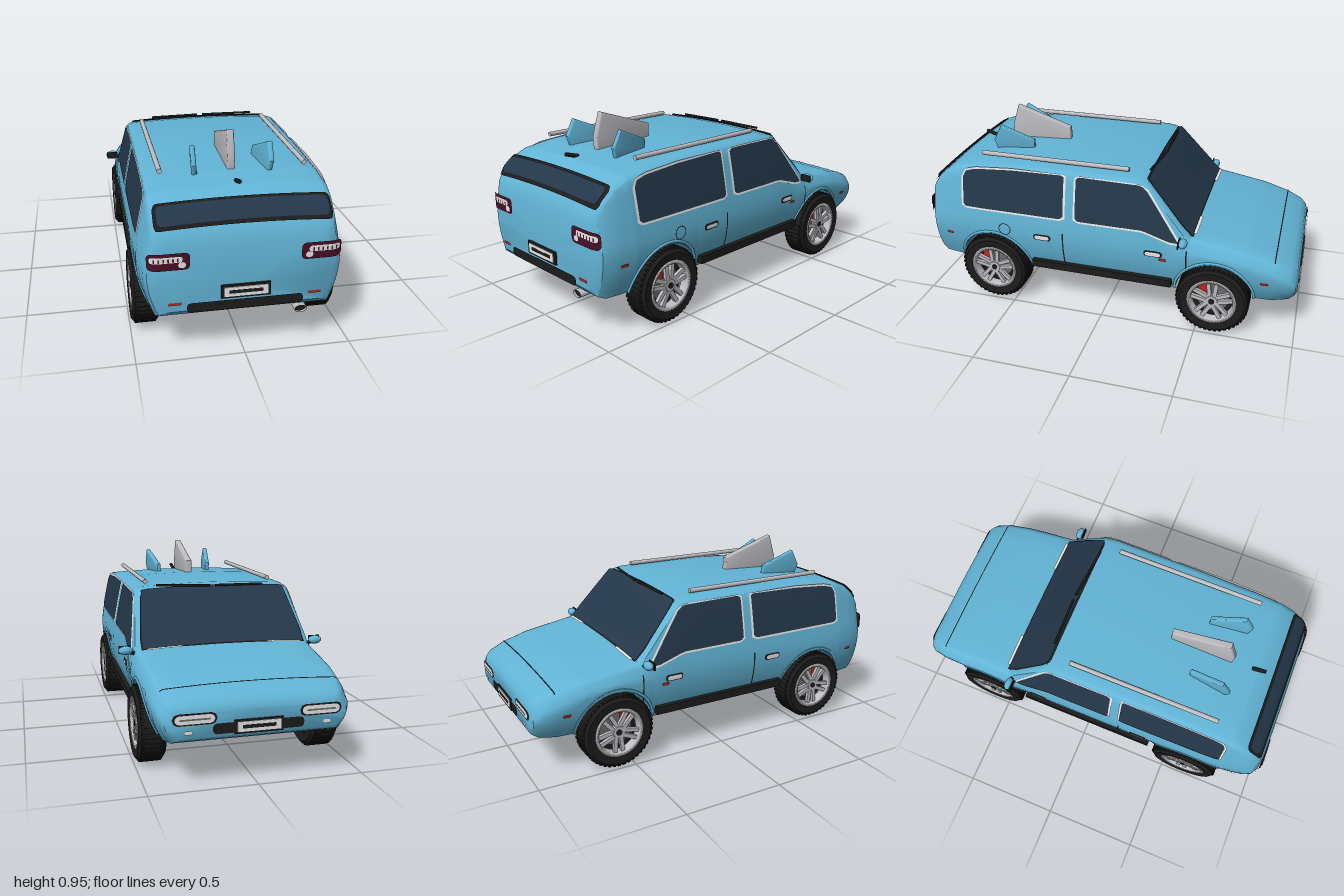
import * as THREE from 'three';
import { toCreasedNormals } from 'three/addons/utils/BufferGeometryUtils.js';

const mat = (name, color) => new THREE.MeshStandardMaterial({ name, color, side: THREE.DoubleSide });

// Body stations along z: z, top height, belt half width, roof half width, floor height
const STATIONS = [
  [-0.99, 0.355, 0.39, 0.36, 0.24], [-0.98, 0.385, 0.42, 0.39, 0.225], [-0.95, 0.41, 0.44, 0.41, 0.21],
  [-0.87, 0.44, 0.457, 0.43, 0.2], [-0.74, 0.475, 0.465, 0.44, 0.2], [-0.6, 0.497, 0.47, 0.445, 0.2],
  [-0.45, 0.52, 0.474, 0.45, 0.2], [-0.42, 0.55, 0.475, 0.45, 0.2], [-0.22, 0.775, 0.475, 0.415, 0.2],
  [-0.15, 0.79, 0.475, 0.415, 0.2], [0.3, 0.787, 0.475, 0.415, 0.2], [0.65, 0.77, 0.474, 0.415, 0.2],
  [0.8, 0.75, 0.47, 0.415, 0.2], [0.87, 0.72, 0.462, 0.413, 0.2], [0.93, 0.67, 0.452, 0.41, 0.2],
  [0.965, 0.62, 0.438, 0.4, 0.215], [0.985, 0.55, 0.405, 0.37, 0.24],
];
const AXLES = [0.61, -0.58], WHEEL_Y = 0.187, ARCH_R = 0.2;

// Piecewise linear lookup in rows sorted by their first value
function at(rows, u, k = 1) {
  let i = 1;
  while (i < rows.length - 1 && rows[i][0] < u) i++;
  const a = rows[i - 1], b = rows[i];
  const t = THREE.MathUtils.clamp((u - a[0]) / (b[0] - a[0]), 0, 1);
  return a[k] + (b[k] - a[k]) * t;
}
// Half width of the body side at a height
function sideX(y, z) {
  const [T, W, Wt, B] = [1, 2, 3, 4].map((k) => at(STATIONS, z, k));
  const belt = Math.min(0.42, T - 0.08);
  if (y < belt) return W - 0.05 * Math.min(1, (belt - y) / (belt - B)) ** 2;
  return W + (Wt - W) * Math.min(1, (y - belt) / (T - 0.03 - belt)) ** 1.3;
}
// Height of the crowned upper surface
function topY(x, z) {
  const f = Math.abs(x) / at(STATIONS, z, 3);
  return at(STATIONS, z, 1) - 0.014 * f * f - 0.016 * Math.max(0, (f - 0.93) / 0.07) ** 2;
}

// Lofted shell with open wheel arches
function bodyGeometry() {
  const zs = STATIONS.map((s) => s[0]);
  for (const c of AXLES) {
    for (let i = 0; i <= 20; i++) zs.push(c - ARCH_R * Math.cos((i / 20) * Math.PI));
    zs.push(c - ARCH_R - 0.001, c + ARCH_R + 0.001);
  }
  zs.sort((a, b) => a - b);
  const rings = zs.map((z) => {
    const T = at(STATIONS, z, 1), Wt = at(STATIONS, z, 3), B = at(STATIONS, z, 4);
    let arch = B;
    for (const c of AXLES) {
      const d = ARCH_R ** 2 - (z - c) ** 2;
      if (d > -1e-9) arch = Math.max(arch, WHEEL_Y + Math.sqrt(Math.max(0, d)));
    }
    const half = [[0, B], [0.34, B], [0.34, arch]];
    for (let i = 0; i <= 12; i++) {
      const y = arch + (T - 0.03 - arch) * (i / 12);
      half.push([sideX(y, z), y]);
    }
    for (const f of [0.985, 0.965, 0.93, 0.75, 0.5, 0.25, 0]) half.push([Wt * f, topY(Wt * f, z)]);
    const mirrored = half.slice(1, -1).reverse().map(([x, y]) => [-x, y]);
    return [...half, ...mirrored].map(([x, y]) => [x, y, z]);
  });
  const n = rings[0].length, pos = rings.flat(2), idx = [];
  for (let i = 0; i < rings.length - 1; i++) for (let j = 0; j < n; j++) {
    const k = (j + 1) % n, a = i * n + j, b = i * n + k;
    idx.push(a, b, b + n, a, b + n, a + n);
  }
  // Nose and tail caps
  for (const [r, flip] of [[0, true], [rings.length - 1, false]]) {
    const c = pos.length / 3;
    pos.push(0, 0.35, zs[r]);
    for (let j = 0; j < n; j++) {
      const a = r * n + j, b = r * n + ((j + 1) % n);
      idx.push(c, flip ? b : a, flip ? a : b);
    }
  }
  const g = new THREE.BufferGeometry();
  g.setAttribute('position', new THREE.Float32BufferAttribute(pos, 3));
  g.setIndex(idx);
  return toCreasedNormals(g, 0.6);
}

// Thin plate between a lower and an upper edge, laid on a surface by a rule
function plate([lo, hi], place, cols = 32, rows = 8) {
  const pos = [], idx = [], u0 = lo[0][0], u1 = lo[lo.length - 1][0];
  for (let i = 0; i <= cols; i++) {
    const u = u0 + (u1 - u0) * (0.5 - 0.5 * Math.cos((i / cols) * Math.PI));
    for (let j = 0; j <= rows; j++) {
      pos.push(...place(u, THREE.MathUtils.lerp(at(lo, u), at(hi, u), j / rows)));
      const a = i * (rows + 1) + j, b = a + rows + 1;
      if (i < cols && j < rows) idx.push(a, b, b + 1, a, b + 1, a + 1);
    }
  }
  const g = new THREE.BufferGeometry();
  g.setAttribute('position', new THREE.Float32BufferAttribute(pos, 3));
  g.setIndex(idx);
  g.computeVertexNormals();
  return g;
}
// Edges of a rounded rectangle
function pill(u0, u1, v0, v1, r = 0.004) {
  const edge = (v, s) => [[u0, v + s * r], [u0 + 0.3 * r, v + s * 0.3 * r], [u0 + r, v],
    [u1 - r, v], [u1 - 0.3 * r, v + s * 0.3 * r], [u1, v + s * r]];
  return [edge(v0, 1), edge(v1, -1)];
}
const onSide = (s, d) => (z, y) => [s * (sideX(y, z) + d), y, z];
const onTop = (dy, dz) => (x, z) => [x, topY(x, z) + dy, z + dz];
const onTail = (s, d) => (x, y) => [s * x, y, 0.986 + d - 6 * Math.max(0, Math.abs(x) - 0.38) ** 2];
const onNose = (s, d) => (x, y) => [s * x, y, -0.991 - d + 5 * Math.max(0, Math.abs(x) - 0.36) ** 2];

export function createModel() {
  const paint = mat('bluePaint', 0x62b4d6), glass = mat('tintedGlass', 0x24374a), black = mat('blackTrim', 0x1c1c1d);
  const silver = mat('silver', 0xbdbdc2), white = mat('white', 0xf0f0f0), red = mat('red', 0xb8281e);
  const maroon = mat('maroonLens', 0x480f26), grey = mat('greyMetal', 0x6a6a6e);
  const car = new THREE.Group();
  car.name = 'car';
  const add = (name, geo, m, parent = car, p = [0, 0, 0]) => {
    const mesh = new THREE.Mesh(geo, m);
    mesh.name = name;
    mesh.position.set(...p);
    parent.add(mesh);
    return mesh;
  };
  const box = (name, size, p, m, parent) => add(name, new THREE.BoxGeometry(...size), m, parent, p);
  const rod = (name, a, b, r, m) => {
    const [p, q] = [new THREE.Vector3(...a), new THREE.Vector3(...b)];
    const mesh = add(name, new THREE.CylinderGeometry(r, r, p.distanceTo(q), 14), m);
    mesh.position.copy(p).lerp(q, 0.5);
    mesh.quaternion.setFromUnitVectors(new THREE.Vector3(0, 1, 0), q.sub(p).normalize());
  };
  add('body', bodyGeometry(), paint);

  // Windscreen, rear window and bonnet seam
  const screen = (e) => [[[-0.415 - e, -0.452 - e], [0.415 + e, -0.452 - e]],
    [[-0.415 - e, -0.4], [-0.385, -0.222 + e], [-0.36, -0.212 + e], [0.36, -0.212 + e], [0.385, -0.222 + e], [0.415 + e, -0.4]]];
  add('windscreenSeal', plate(screen(0.008), onTop(0.005, -0.004)), black);
  add('windscreen', plate(screen(0), onTop(0.008, -0.006)), glass);
  for (const s of [1, -1]) add('cowlTrim', plate(pill(s * 0.31 - 0.09, s * 0.31 + 0.09, -0.472, -0.458), onTop(0.009, -0.004)), white);
  add('rearWindowSeal', plate(pill(-0.4, 0.4, 0.868, 0.958, 0.02), onTop(0.006, 0.005)), black);
  add('rearWindow', plate(pill(-0.388, 0.388, 0.88, 0.948, 0.02), onTop(0.009, 0.008)), glass);
  add('bonnetSeam', plate(pill(-0.42, 0.42, -0.873, -0.867, 0.001), onTop(0.003, 0)), black);
  rod('wiper', [-0.27, 0.782, -0.228], [-0.01, 0.784, -0.235], 0.006, black);
  rod('wiper', [0.02, 0.784, -0.235], [0.3, 0.79, -0.21], 0.006, black);

  for (const s of [1, -1]) {
    // Side windows with pale surrounds
    for (const [name, e, d, m] of [['windowTrim', 0.011, 0.004, white], ['sideWindow', 0, 0.007, glass]]) {
      add(name, plate([[[0.21 - e, 0.545 - e], [0.225, 0.53 - e], [0.755, 0.53 - e], [0.77 + e, 0.545 - e]],
        [[0.21 - e, 0.75 + e * 0.5], [0.225, 0.757 + e * 0.5], [0.5, 0.75 + e], [0.7, 0.735 + e], [0.755, 0.72 + e], [0.77 + e, 0.69]]], onSide(s, d)), m);
      add(name, plate([[[-0.39 - e, 0.485 - e], [-0.35, 0.487 - e], [-0.21, 0.53 - e], [0.13, 0.53 - e], [0.145 + e, 0.545 - e]],
        [[-0.39 - e, 0.495], [-0.22 - e, 0.735], [-0.19, 0.755 + e * 0.5], [0.13, 0.758 + e * 0.5], [0.145 + e, 0.745 + e * 0.5]]], onSide(s, d)), m);
    }
    // Door seams, sill, handles and side markers
    add('doorSeam', plate(pill(0.207, 0.214, 0.26, 0.45, 0.001), onSide(s, 0.003)), black);
    add('doorSeam', plate(pill(-0.443, -0.436, 0.27, 0.45, 0.001), onSide(s, 0.003)), black);
    box('sill', [0.035, 0.04, 0.755], [s * 0.4575, 0.245, 0.012], black);
    for (const z of [0.325, -0.27]) {
      add('handleRecess', plate(pill(z - 0.048, z + 0.048, 0.394, 0.428, 0.012), onSide(s, 0.003)), black);
      add('handle', plate(pill(z - 0.04, z + 0.04, 0.4, 0.422, 0.01), onSide(s, 0.008)), white);
    }
    for (const [z, y] of [[-0.32, 0.385], [-0.83, 0.32], [0.865, 0.358]])
      add('sideMarker', plate(pill(z - 0.02, z + 0.02, y - 0.008, y + 0.008, 0.006), onSide(s, 0.006)), red);

    // Door mirrors
    const shell = add('mirror', new THREE.SphereGeometry(1, 20, 14), paint, car, [s * 0.497, 0.506, -0.425]);
    shell.scale.set(0.036, 0.022, 0.022);
    rod('mirrorArm', [s * 0.45, 0.49, -0.425], [s * 0.49, 0.5, -0.425], 0.01, black);
    box('mirrorGlass', [0.06, 0.038, 0.006], [s * 0.5, 0.506, -0.405], black);

    // Tail lamps
    add('tailLamp', plate(pill(0.25, 0.438, 0.45, 0.53, 0.018), onTail(s, 0.005)), maroon);
    add('tailLampLens', plate(pill(0.283, 0.428, 0.487, 0.515, 0.01), onTail(s, 0.008)), white);
    add('reverseLamp', plate(pill(0.268, 0.302, 0.46, 0.488, 0.012), onTail(s, 0.008)), white);
    for (let i = 0; i < 6; i++)
      add('lampRib', plate(pill(0.3 + i * 0.021, 0.307 + i * 0.021, 0.49, 0.508, 0.002), onTail(s, 0.01), 6, 2), maroon);
    add('rearReflector', plate(pill(0.29, 0.348, 0.275, 0.288, 0.003), onTail(s, 0.004)), red);

    // Headlamps and small bumper lamps
    add('headlampSeal', plate(pill(0.19, 0.39, 0.298, 0.352, 0.025), onNose(s, 0.002)), black);
    add('headlamp', plate(pill(0.2, 0.38, 0.305, 0.345, 0.02), onNose(s, 0.005)), white);
    add('headlampBar', plate(pill(0.22, 0.36, 0.321, 0.329, 0.004), onNose(s, 0.007)), grey);
    add('bumperLamp', plate(pill(0.3, 0.34, 0.257, 0.275, 0.008), onNose(s, 0.004)), white);

    // Roof rails
    rod('roofRail', [s * 0.34, 0.795, 0.69], [s * 0.34, 0.797, -0.11], 0.012, silver);
  }
  const fuel = new THREE.RingGeometry(0.03, 0.034, 32).rotateY(Math.PI / 2);
  add('fuelFlap', fuel, black, car, [sideX(0.43, 0.535) + 0.004, 0.43, 0.535]);

  // Number plates, bumper strip, grille, exhaust and aerial
  for (const [s, y] of [[1, 0.323], [-1, 0.275]]) {
    box('plateFrame', [0.225, 0.064, 0.012], [0, y, s * 0.99], black);
    box('plate', [0.2, 0.046, 0.004], [0, y, s * 0.997], white);
    box('plateBar', [0.155, 0.016, 0.002], [0, y, s * 0.999], black);
  }
  add('rearBumperStrip', plate(pill(-0.265, 0.265, 0.233, 0.28, 0.016), onTail(1, 0.005)), black);
  add('grille', plate(pill(-0.21, 0.21, 0.25, 0.298, 0.016), onNose(1, 0.003)), black);
  const pipe = new THREE.LatheGeometry([[0.022, 0], [0.022, 0.14], [0.019, 0.14], [0.019, 0.02]].map((p) => new THREE.Vector2(...p)), 24);
  add('exhaust', pipe.rotateX(Math.PI / 2).scale(1.35, 0.85, 1), silver, car, [0.26, 0.195, 0.845]);
  add('exhaustBore', new THREE.CircleGeometry(0.019, 24).scale(1.35, 0.85, 1), black, car, [0.26, 0.195, 0.975]);
  rod('aerial', [0, 0.755, 0.76], [0, 0.775, 0.83], 0.01, black);

  // Roof fins from side profiles in z and y
  const fin = (name, pts, t, m, shift) => {
    const shape = new THREE.Shape(pts.map((p) => new THREE.Vector2(...p)));
    const g = new THREE.ExtrudeGeometry(shape, { depth: t, bevelSize: 0.008, bevelThickness: 0.008, bevelSegments: 3 });
    g.translate(0, 0, -t / 2).applyMatrix4(new THREE.Matrix4().set(0, 0, -1, 0, 0, 1, 0, 0, 1, 0, 0, 0, 0, 0, 0, 1));
    const p = g.attributes.position;
    for (let i = 0; i < p.count; i++) p.setX(i, p.getX(i) + shift(p.getY(i), p.getZ(i)));
    add(name, toCreasedNormals(g, 0.7), m);
  };
  fin('centreFin', [[0.325, 0.77], [0.645, 0.77], [0.65, 0.83], [0.615, 0.942], [0.325, 0.847]], 0.02, silver, () => 0);
  for (const s of [1, -1])
    fin('sideFin', [[0.48, 0.77], [0.67, 0.76], [0.685, 0.81], [0.645, 0.885], [0.48, 0.815]], 0.01, paint,
      (y, z) => s * (0.15 + (z - 0.47) * 0.14 + (y - 0.78) * 0.08));

  // Wheels, brakes, arch lips and suspension
  const lathe = (pts) => new THREE.LatheGeometry(pts.map((p) => new THREE.Vector2(...p)), 48);
  const tyre = toCreasedNormals(lathe([[0.122, -0.06], [0.165, -0.067], [0.179, -0.055], [0.184, -0.03], [0.184, 0.03],
    [0.179, 0.054], [0.165, 0.066], [0.127, 0.062], [0.121, 0.03], [0.122, -0.06]]), 0.6);
  const rim = lathe([[0.121, 0], [0.127, 0.063], [0.108, 0.06], [0.104, 0.02]]);
  for (const s of [1, -1]) for (const z of AXLES) {
    const wheel = new THREE.Group();
    wheel.name = 'wheel';
    wheel.position.set(s * 0.428, WHEEL_Y, z);
    wheel.rotation.z = -s * Math.PI / 2;
    car.add(wheel);
    add('tyre', tyre, black, wheel);
    add('rim', rim, silver, wheel);
    add('wheelBack', new THREE.CylinderGeometry(0.121, 0.121, 0.02, 40), black, wheel, [0, -0.02, 0]);
    add('innerDisc', new THREE.CylinderGeometry(0.11, 0.11, 0.02, 40), grey, wheel, [0, -0.05, 0]);
    add('brakeDisc', new THREE.CylinderGeometry(0.085, 0.085, 0.012, 40), grey, wheel, [0, 0.005, 0]);
    add('hub', new THREE.CylinderGeometry(0.03, 0.036, 0.03, 24), silver, wheel, [0, 0.042, 0]);
    add('hubCap', new THREE.CylinderGeometry(0.015, 0.015, 0.006, 16), black, wheel, [0, 0.058, 0]);
    for (let i = 0; i < 5; i++) for (const k of [-1, 1]) {
      const spoke = new THREE.BoxGeometry(0.1, 0.018, 0.02).translate(0.067, 0.044, k * 0.01);
      add('spoke', spoke.rotateY(k * -0.1 + (i / 5) * Math.PI * 2 + Math.PI), silver, wheel);
    }
    for (let i = 0; i < 44; i++)
      add('tread', new THREE.BoxGeometry(0.006, 0.1, 0.014).translate(0.184, 0, 0).rotateY((i / 44) * Math.PI * 2), black, wheel);
    box('caliper', [0.025, 0.06, 0.05], [s * 0.445, 0.25, z + 0.05], red);

    const lip = new THREE.TorusGeometry(ARCH_R + 0.003, 0.007, 8, 40, Math.PI).rotateY(Math.PI / 2).translate(0, WHEEL_Y + 0.01, z);
    const p = lip.attributes.position;
    for (let i = 0; i < p.count; i++) p.setX(i, s * (p.getX(i) + sideX(p.getY(i), p.getZ(i))));
    add('archLip', lip, paint);

    rod('suspensionArm', [s * 0.15, 0.153, z], [s * 0.4, 0.187, z], 0.015, black);
    for (const k of [-1, 1]) rod('suspensionLink', [s * 0.22, 0.192, z + k * 0.1], [s * 0.38, 0.175, z], 0.012, black);
  }
  return car;
}
